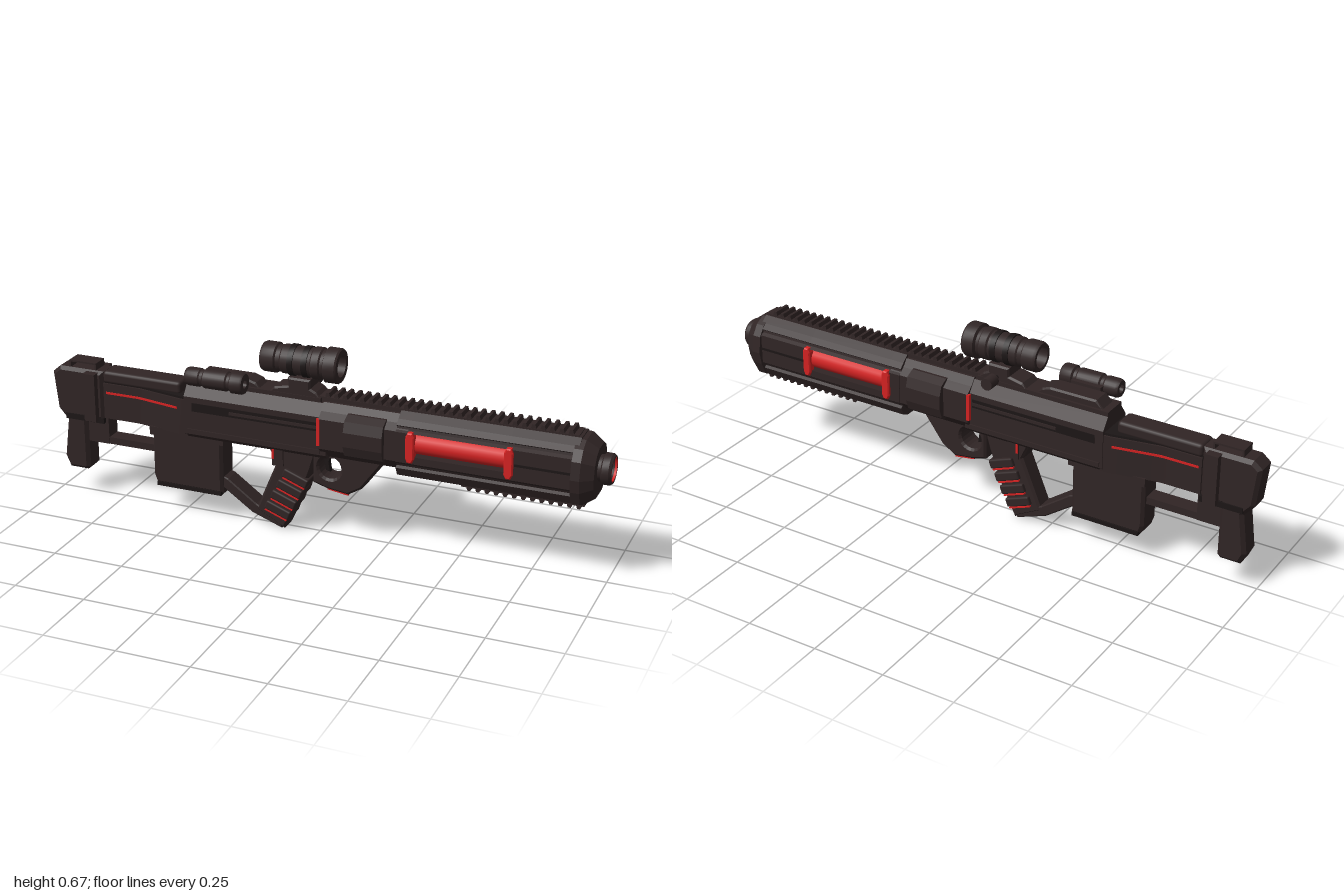
import * as THREE from 'three';
import { toCreasedNormals } from 'three/addons/utils/BufferGeometryUtils.js';
import { RoundedBoxGeometry } from 'three/addons/geometries/RoundedBoxGeometry.js';

export function createModel() {
  const root = new THREE.Group();
  const mat = (name, color) => Object.assign(new THREE.MeshStandardMaterial({ color }), { name });
  const body = mat('dark brown metal', 0x302525);
  const dark = mat('near black metal', 0x1c1616);
  const red = mat('red accent', 0xd42222);

  const add = (name, geo, m = body) => {
    const mesh = new THREE.Mesh(geo, m);
    mesh.name = name;
    root.add(mesh);
    return mesh;
  };
  // Box given by its limits
  const box = (name, x0, x1, y0, y1, z0, z1, m) => {
    const b = add(name, new THREE.BoxGeometry(x1 - x0, y1 - y0, z1 - z0), m);
    b.position.set((x0 + x1) / 2, (y0 + y1) / 2, (z0 + z1) / 2);
    return b;
  };
  const vecs = (pts) => pts.map(([a, b]) => new THREE.Vector2(a, b));
  // Side outline extruded across z, with a small bevel
  const plate = (name, pts, half, m, bevel = 0.006, hole) => {
    const s = new THREE.Shape(vecs(pts));
    if (hole) s.holes.push(new THREE.Path().absarc(hole[0], hole[1], hole[2], 0, Math.PI * 2, true));
    const g = new THREE.ExtrudeGeometry(s, {
      depth: 2 * (half - bevel), bevelEnabled: bevel > 0, bevelSize: bevel, bevelOffset: -bevel,
      bevelThickness: bevel, bevelSegments: 1, curveSegments: 10,
    });
    g.translate(0, 0, bevel - half);
    return add(name, g, m);
  };
  // Mirrored cross-section run along x; front end may shrink
  const prism = (name, half, x0, x1, m, frontScale = 1, rearScale = 1) => {
    const pts = [...half, ...half.map(([z, y]) => [-z, y]).reverse()];
    const g = new THREE.ExtrudeGeometry(new THREE.Shape(vecs(pts)), { depth: x1 - x0, bevelEnabled: false });
    const p = g.attributes.position;
    for (let i = 0; i < p.count; i++) {
      const k = p.getZ(i) > (x1 - x0) / 2 ? frontScale : rearScale;
      p.setXY(i, p.getX(i) * k, 0.39 + (p.getY(i) - 0.39) * k);
    }
    g.computeVertexNormals();
    g.rotateY(Math.PI / 2);
    g.translate(x0, 0, 0);
    return add(name, g, m);
  };
  // Turned part along x from (radius, x) points
  const turned = (name, pts, y, z, m, sides = 24) => {
    const g = new THREE.LatheGeometry(vecs(pts), sides);
    g.rotateZ(-Math.PI / 2);
    g.translate(0, y, z);
    return add(name, toCreasedNormals(g, 0.5), m);
  };
  // Box that narrows towards the rear
  const tapered = (name, x0, x1, y0, y1, extra, m) => {
    const g = new THREE.BoxGeometry(x1 - x0, y1 - y0, 2, 12, 1, 1);
    g.translate((x0 + x1) / 2, (y0 + y1) / 2, 0);
    const p = g.attributes.position;
    for (let i = 0; i < p.count; i++) {
      const w = 0.038 + 0.034 * THREE.MathUtils.clamp((p.getX(i) + 0.66) / 0.18, 0, 1) + extra;
      p.setZ(i, p.getZ(i) * w);
    }
    g.computeVertexNormals();
    return add(name, g, m);
  };

  // Stock
  plate('buttPad', [[-1, 0.455], [-0.97, 0.48], [-0.8, 0.48], [-0.8, 0.3], [-0.87, 0.3], [-0.87, 0.11],
    [-0.88, 0.1], [-0.95, 0.1], [-0.968, 0.14], [-0.95, 0.28], [-0.985, 0.32]], 0.042, body, 0.012);
  box('stockClamp', -0.865, -0.82, 0.3, 0.475, -0.065, 0.065);
  box('clampBand', -0.95, -0.8, 0.29, 0.31, -0.046, 0.046, dark);
  box('stockLowerPost', -0.875, -0.79, 0.21, 0.31, -0.03, 0.03);
  box('stockLowerBar', -0.8, -0.6, 0.21, 0.235, -0.028, 0.028);
  box('loopTop', -0.935, -0.83, 0.499, 0.505, -0.03, 0.03);
  for (const x of [-0.935, -0.836]) box('loopPost', x, x + 0.006, 0.475, 0.5, -0.03, 0.03);
  tapered('stockBeam', -0.8, -0.46, 0.31, 0.44, 0);
  tapered('cheekGroove', -0.8, -0.46, 0.435, 0.448, -0.006, dark);
  tapered('stockStripe', -0.79, -0.5, 0.402, 0.41, 0.002, red);
  const cheek = add('cheekRest', new RoundedBoxGeometry(0.3, 0.045, 0.08, 2, 0.012));
  cheek.position.set(-0.65, 0.463, 0);

  // Receiver
  prism('receiver', [[0.045, 0.305], [0.06, 0.305], [0.075, 0.32], [0.075, 0.455], [0.045, 0.495]], -0.47, 0.05);
  prism('frontReceiver', [[0.05, 0.31], [0.09, 0.35], [0.09, 0.455], [0.065, 0.475], [0.045, 0.5]], 0.03, 0.34);
  prism('receiverBoss', [[0.085, 0.335], [0.1, 0.345], [0.112, 0.38], [0.112, 0.43], [0.1, 0.465], [0.07, 0.48]],
    0.125, 0.26);
  for (const s of [-1, 1]) {
    box('receiverSlot', -0.44, 0.02, 0.405, 0.435, s * 0.075 - 0.002, s * 0.075 + 0.002, dark);
    box('slotRod', -0.3, 0.02, 0.414, 0.424, s * 0.077 - 0.004, s * 0.077 + 0.004);
    box('receiverRib', -0.46, 0.03, 0.325, 0.34, s * 0.075 - 0.005, s * 0.075 + 0.005);
    box('receiverStrip', 0.022, 0.034, 0.36, 0.455, s * 0.086 - 0.006, s * 0.086 + 0.006, red);
    box('releaseLever', -0.15, -0.11, 0.25, 0.31, s * 0.06 - 0.004, s * 0.06 + 0.004);
    box('leverAccent', -0.15, -0.142, 0.275, 0.31, s * 0.063 - 0.004, s * 0.063 + 0.004, red);
  }

  // Handguard, with long flutes and a recessed red side bar
  const lower = [[0.045, 0.285], [0.07, 0.295], [0.085, 0.325], [0.076, 0.332], [0.08, 0.34], [0.093, 0.35]];
  const upper = [[0.093, 0.455], [0.08, 0.462], [0.078, 0.47], [0.082, 0.474], [0.065, 0.49], [0.04, 0.51]];
  const recess = [[0.093, 0.375], [0.06, 0.375], [0.06, 0.455]];
  prism('handguardRear', [...lower, ...upper], 0.3, 0.35);
  prism('handguardMiddle', [...lower, ...recess, ...upper], 0.35, 0.68);
  prism('handguardFront', [...lower, ...upper], 0.68, 0.9);
  for (const s of [-1, 1]) {
    const bar = add('sideBar', new THREE.CylinderGeometry(0.037, 0.037, 0.34, 20), red);
    bar.rotation.z = Math.PI / 2;
    bar.position.set(0.515, 0.413, s * 0.056);
    for (const x of [0.352, 0.683]) {
      const ring = plate('barEndClamp', [[x - 0.008, 0.355], [x + 0.008, 0.355], [x + 0.015, 0.37],
        [x + 0.015, 0.445], [x + 0.008, 0.46], [x - 0.008, 0.46], [x - 0.015, 0.445], [x - 0.015, 0.37]], 0.014, red, 0.004);
      ring.position.z = s * 0.09;
    }
    box('handguardSeam', 0.7, 0.9, 0.4, 0.408, s * 0.093 - 0.002, s * 0.093 + 0.002, dark);
  }
  const cap = [[0.05, 0.285], [0.08, 0.3], [0.1, 0.345], [0.108, 0.39], [0.1, 0.45], [0.075, 0.485], [0.04, 0.505]];
  prism('handguardCap', cap, 0.885, 0.915);
  prism('handguardNose', cap, 0.915, 0.955, body, 0.76);

  // Muzzle
  turned('muzzle', [[0.036, 0.94], [0.044, 0.94], [0.044, 0.965], [0.052, 0.97], [0.052, 0.992], [0.046, 1],
    [0.038, 1], [0.036, 0.985], [0.036, 0.94]], 0.402, 0);
  turned('muzzleRing', [[0.041, 0.99], [0.041, 1.0], [0.037, 1.0], [0.037, 0.99]], 0.402, 0, red);
  turned('muzzleCore', [[0.037, 0.95], [0.037, 0.985], [0, 0.985]], 0.402, 0, dark);

  // Toothed rails
  box('topRail', 0.0, 0.89, 0.495, 0.514, -0.036, 0.036);
  for (let x = 0.03; x < 0.88; x += 0.0305) {
    plate('topRailTooth', [[x, 0.51], [x + 0.02, 0.51], [x + 0.015, 0.528], [x + 0.005, 0.528]], 0.034, body, 0);
  }
  box('bottomRail', 0.51, 0.92, 0.274, 0.295, -0.036, 0.036);
  for (let x = 0.525; x < 0.9; x += 0.0305) {
    plate('bottomRailTooth', [[x + 0.005, 0.262], [x + 0.015, 0.262], [x + 0.02, 0.278], [x, 0.278]], 0.034, body, 0);
  }

  // Rear rail and scope
  box('rearRail', -0.47, 0.02, 0.488, 0.51, -0.045, 0.045);
  plate('sideTubeBase', [[-0.45, 0.505], [-0.2, 0.505], [-0.22, 0.525], [-0.25, 0.535], [-0.42, 0.535]], 0.036);
  plate('scopeMount', [[-0.17, 0.505], [0.02, 0.505], [0.0, 0.525], [-0.02, 0.535], [-0.02, 0.565],
    [-0.1, 0.565], [-0.1, 0.535], [-0.15, 0.525]], 0.042);
  turned('scope', [[0.036, -0.2], [0.048, -0.2], [0.052, -0.19], [0.052, -0.15], [0.046, -0.145], [0.046, -0.13],
    [0.05, -0.125], [0.05, -0.02], [0.055, -0.015], [0.055, 0.01], [0.05, 0.015], [0.05, 0.025], [0.06, 0.03],
    [0.06, 0.07], [0.056, 0.076], [0.037, 0.076], [0.036, -0.2]], 0.615, 0);
  for (const x of [-0.1, -0.05]) {
    turned('scopeBand', [[0.049, x], [0.054, x], [0.054, x + 0.02], [0.049, x + 0.02]], 0.615, 0, dark);
  }
  const knob = add('mountKnob', new THREE.CylinderGeometry(0.021, 0.021, 0.045, 16));
  knob.rotation.x = Math.PI / 2;
  knob.position.set(-0.053, 0.522, -0.083);
  const stem = add('knobStem', new THREE.CylinderGeometry(0.009, 0.009, 0.04, 10), dark);
  stem.rotation.x = Math.PI / 2;
  stem.position.set(-0.053, 0.522, -0.05);

  // Small side tube
  turned('sideTube', [[0.015, -0.45], [0.028, -0.45], [0.032, -0.44], [0.032, -0.4], [0.029, -0.395], [0.029, -0.385],
    [0.034, -0.38], [0.034, -0.3], [0.03, -0.295], [0.03, -0.285], [0.037, -0.28], [0.037, -0.245], [0.034, -0.238],
    [0.015, -0.238], [0.015, -0.45]], 0.535, 0.08);
  box('sideTubeBracket', -0.4, -0.29, 0.51, 0.545, 0.03, 0.06);

  // Magazine
  plate('magazine', [[-0.6, 0.1], [-0.345, 0.1], [-0.345, 0.31], [-0.61, 0.31], [-0.61, 0.13]], 0.047, body, 0.01);
  box('magazineCollar', -0.615, -0.335, 0.285, 0.315, -0.055, 0.055);
  box('magazineFoot', -0.595, -0.35, 0.094, 0.108, -0.05, 0.05, dark);

  // Grip, strut and trigger guard
  plate('grip', [[-0.18, 0.31], [0, 0.31], [-0.02, 0.24], [-0.06, 0.13], [-0.12, 0.005], [-0.225, 0.06],
    [-0.15, 0.24]], 0.036, body, 0.008);
  for (let i = 0; i < 4; i++) {
    const x = -0.074 - 0.022 * i, y = 0.205 - 0.043 * i;
    const ridge = add('fingerRidge', new RoundedBoxGeometry(0.095, 0.033, 0.1, 1, 0.006));
    ridge.position.set(x, y, 0);
    const line = add('ridgeAccent', new THREE.BoxGeometry(0.085, 0.005, 0.092), red);
    line.position.set(x - 0.007, y - 0.019, 0);
    ridge.rotation.z = line.rotation.z = -0.36;
  }
  plate('gripStrut', [[-0.355, 0.165], [-0.355, 0.125], [-0.24, 0.045], [-0.13, 0.005], [-0.125, 0.03],
    [-0.225, 0.08], [-0.33, 0.155]], 0.034, body, 0.004);
  plate('triggerGuard', [[-0.01, 0.315], [-0.01, 0.2], [0.04, 0.185], [0.115, 0.175], [0.165, 0.205], [0.235, 0.3],
    [0.235, 0.315]], 0.042, body, 0.008, [0.05, 0.262, 0.04]);
  plate('trigger', [[0.02, 0.31], [0.05, 0.31], [0.035, 0.27], [0.04, 0.235], [0.025, 0.24], [0.018, 0.27]], 0.01, dark, 0.002);
  plate('guardAccent', [[0.04, 0.181], [0.115, 0.17], [0.115, 0.176], [0.04, 0.187]], 0.034, red, 0);

  return root;
}
